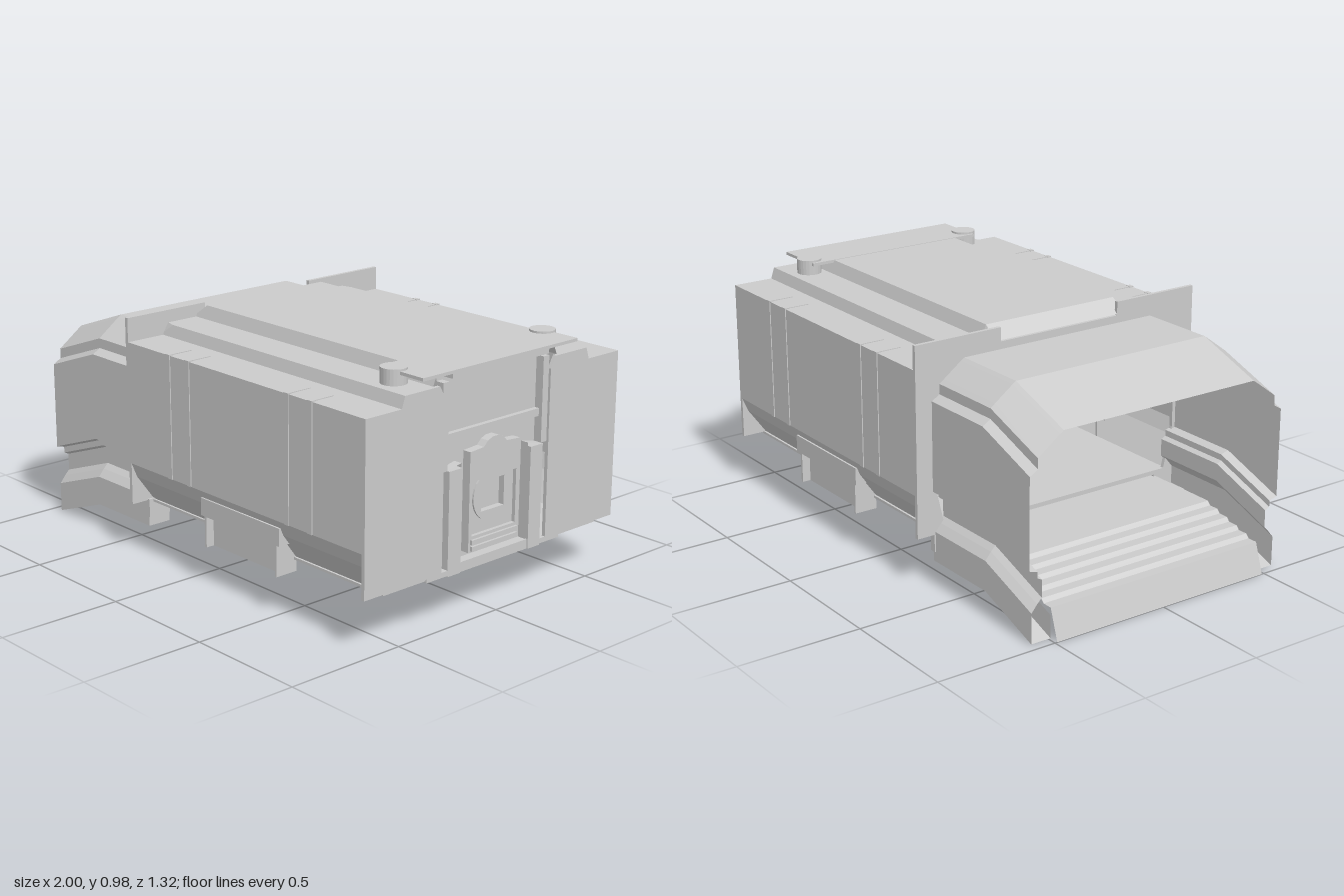
import * as THREE from 'three';

const grey = new THREE.MeshStandardMaterial({ color: 0xcccccc, flatShading: true, side: THREE.DoubleSide });

export function createModel() {
  const model = new THREE.Group();

  const add = (name, geometry) => {
    const mesh = new THREE.Mesh(geometry, grey);
    mesh.name = name;
    model.add(mesh);
    return mesh;
  };

  // Box given by its min and max limits
  const box = (name, x0, x1, y0, y1, z0, z1) =>
    add(name, new THREE.BoxGeometry(x1 - x0, y1 - y0, Math.abs(z1 - z0)))
      .position.set((x0 + x1) / 2, (y0 + y1) / 2, (z0 + z1) / 2);

  // Sheet skinned through equally long rows of [x, y, z]
  const skin = (name, rows) => {
    const pos = [];
    for (let i = 0; i < rows.length - 1; i++) {
      for (let j = 0; j < rows[i].length - 1; j++) {
        const [a, b, c, d] = [rows[i][j], rows[i + 1][j], rows[i + 1][j + 1], rows[i][j + 1]];
        pos.push(...a, ...b, ...c, ...a, ...c, ...d);
      }
    }
    const g = new THREE.BufferGeometry();
    g.setAttribute('position', new THREE.Float32BufferAttribute(pos, 3));
    g.computeVertexNormals();
    return add(name, g);
  };

  // Plate cut from a [z, y] outline; its outer face lies at x
  const plate = (name, x, depth, outline, ...holes) => {
    const toPoints = (list) => list.map(([z, y]) => new THREE.Vector2(z, y));
    const shape = new THREE.Shape(toPoints(outline));
    holes.forEach((h) => shape.holes.push(new THREE.Path(toPoints(h))));
    const g = new THREE.ExtrudeGeometry(shape, { depth, bevelEnabled: false, curveSegments: 24 });
    g.rotateY(-Math.PI / 2);
    g.translate(x, 0, 0);
    return add(name, g);
  };

  const mirrored = (half) => [...half, ...half.slice().reverse().map(([z, y]) => [-z, y])];
  const rect = (w, y0, y1) => [[w, y0], [w, y1], [-w, y1], [-w, y0]];
  const circle = (r, y, n) => Array.from({ length: n }, (_, i) => {
    const a = (i / n) * Math.PI * 2;
    return [r * Math.cos(a), y + r * Math.sin(a)];
  });

  // Cabin shell: chamfered foot, upright wall, stepped roof
  const cabin = mirrored([[0.55, 0.22], [0.63, 0.33], [0.655, 0.39], [0.655, 0.88],
    [0.485, 0.88], [0.47, 0.925], [0.32, 0.925], [0.3, 0.975]]);
  const atStart = cabin.map(([z, y]) => [Math.abs(z) < 0.48 && Math.abs(z) > 0.4 ? z * 0.97 : z, Math.min(y, 0.925)]);
  skin('cabinShell', [
    atStart.map(([z, y]) => [-0.36, y, z]),
    cabin.map(([z, y]) => [-0.3, y, z]),
    cabin.map(([z, y]) => [0.97, y, z]),
  ]);

  // Floor with a shallow tapered belly pan
  box('cabinFloor', -0.36, 0.98, 0.212, 0.222, -0.56, 0.56);
  const ring = (x0, x1, y, z) => [[x0, y, -z], [x1, y, -z], [x1, y, z], [x0, y, z], [x0, y, -z]];
  skin('bellyPan', [ring(-0.08, 0.7, 0.214, 0.35), ring(0, 0.6, 0.2, 0.29), ring(0.3, 0.3, 0.2, 0)]);

  // Collar standing proud where the tunnel meets the cabin
  plate('collar', -0.345, 0.015,
    mirrored([[0.655, 0.22], [0.655, 0.975], [0.275, 0.975], [0.275, 0.92]]),
    mirrored([[0.53, 0.23], [0.57, 0.4], [0.57, 0.75], [0.53, 0.8], [0.44, 0.88]]));

  // Entrance tunnel with ribbed sides, bending down towards its mouth
  const tunnel = mirrored([[0.49, 0.2], [0.49, 0.11], [0.575, 0.11], [0.575, 0.23], [0.55, 0.26], [0.53, 0.28],
    [0.53, 0.35], [0.55, 0.36], [0.55, 0.385], [0.585, 0.395], [0.585, 0.75], [0.55, 0.77],
    [0.55, 0.81], [0.53, 0.825], [0.455, 0.88], [0.44, 0.89]]);
  skin('tunnelShell', [[-0.345, 0], [-0.68, 0], [-0.96, -0.1]]
    .map(([x, dy]) => tunnel.map(([z, y]) => [x, y + dy, z])));

  // Tunnel floor and stairs
  const treads = [[-0.34, 0.205], [-0.68, 0.205]];
  for (let i = 0; i < 5; i++) {
    const x = -0.68 - i * 0.056;
    const y = 0.205 - (i + 1) * 0.015;
    treads.push([x - 0.014, y], [x - 0.056, y]);
  }
  skin('stairs', treads.map(([x, y]) => [[x, y, 0.49], [x, y, -0.49]]));
  skin('mouthFlap', [[[-0.96, 0.13, 0.49], [-0.96, 0.13, -0.49]], [[-1, 0.01, 0.49], [-1, 0.01, -0.49]]]);

  for (const s of [1, -1]) {
    // End wall with a raised shoulder
    plate('endWall', 0.985, 0.015, [[0.275, 0.22], [0.655, 0.22], [0.655, 0.88], [0.485, 0.88],
      [0.47, 0.925], [0.3, 0.925], [0.275, 0.88]].map(([z, y]) => [s * z, y]));
    box('endFoot', 0.91, 0.985, 0.205, 0.225, s * 0.245, s * 0.35);

    // Roof vent
    const vent = add('roofVent', new THREE.CylinderGeometry(0.05, 0.05, 0.06, 24));
    vent.position.set(0.84, 0.955, s * 0.385);

    // Wall ribs wrapping onto the roof edge
    for (const x of [-0.095, 0.02, 0.58, 0.705]) {
      box('wallRib', x - 0.012, x + 0.012, 0.39, 0.884, s * 0.64, s * 0.659);
      box('roofRib', x - 0.008, x + 0.008, 0.87, 0.883, s * 0.55, s * 0.655);
    }

    // Side step hung from a bracket
    box('stepBracket', 0.08, 0.53, 0.29, 0.36, s * 0.58, s * 0.65);
    box('stepPanel', 0.095, 0.51, 0.165, 0.3, s * 0.6, s * 0.61);
    for (const x of [0.095, 0.5]) box('stepCheek', x, x + 0.01, 0.165, 0.3, s * 0.55, s * 0.645);

    // Foot block under the collar
    box('collarFoot', -0.44, -0.345, 0.11, 0.155, s * 0.475, s * 0.575);
    box('collarPost', -0.36, -0.335, 0.15, 0.225, s * 0.48, s * 0.58);

    // Door pillars
    box('pillar', 0.93, 0.985, 0.2, 0.6, s * 0.18, s * 0.245);
    skin('pillarFlank', [0.93, 0.975].map((x) => [[x, 0.2, s * 0.175], [x, 0.615, s * 0.175], [x, 0.6, s * 0.245]]));
    box('upperPillar', 0.93, 0.975, 0.6, 0.93, s * 0.245, s * 0.275);
  }

  // Recessed wall and beam over the door bay
  plate('bayWall', 0.94, 0.01, rect(0.275, 0.21, 0.945));
  box('bayBeam', 0.94, 0.995, 0.945, 0.975, -0.25, 0.25);
  box('bayCanopy', 0.78, 1, 0.965, 0.977, -0.4, 0.4);
  box('bayLintel', 0.935, 0.96, 0.7, 0.73, -0.25, 0.25);
  box('doorSill', 0.92, 0.98, 0.2, 0.238, -0.18, 0.18);

  // Door with arched head, round port and square window
  plate('doorFrame', 0.975, 0.035,
    mirrored([[0.13, 0.26], [0.13, 0.645], [0.06, 0.65], [0.04, 0.67], [0.015, 0.68]]),
    rect(0.115, 0.32, 0.53));
  plate('doorLeaf', 0.96, 0.015, rect(0.12, 0.3, 0.6), circle(0.095, 0.455, 32));
  plate('doorPort', 0.967, 0.025, circle(0.1, 0.455, 32), rect(0.06, 0.4, 0.515));
  for (const y of [0.265, 0.29]) box('doorStep', 0.96, 0.985, y, y + 0.018, -0.12, 0.12);

  return model;
}
